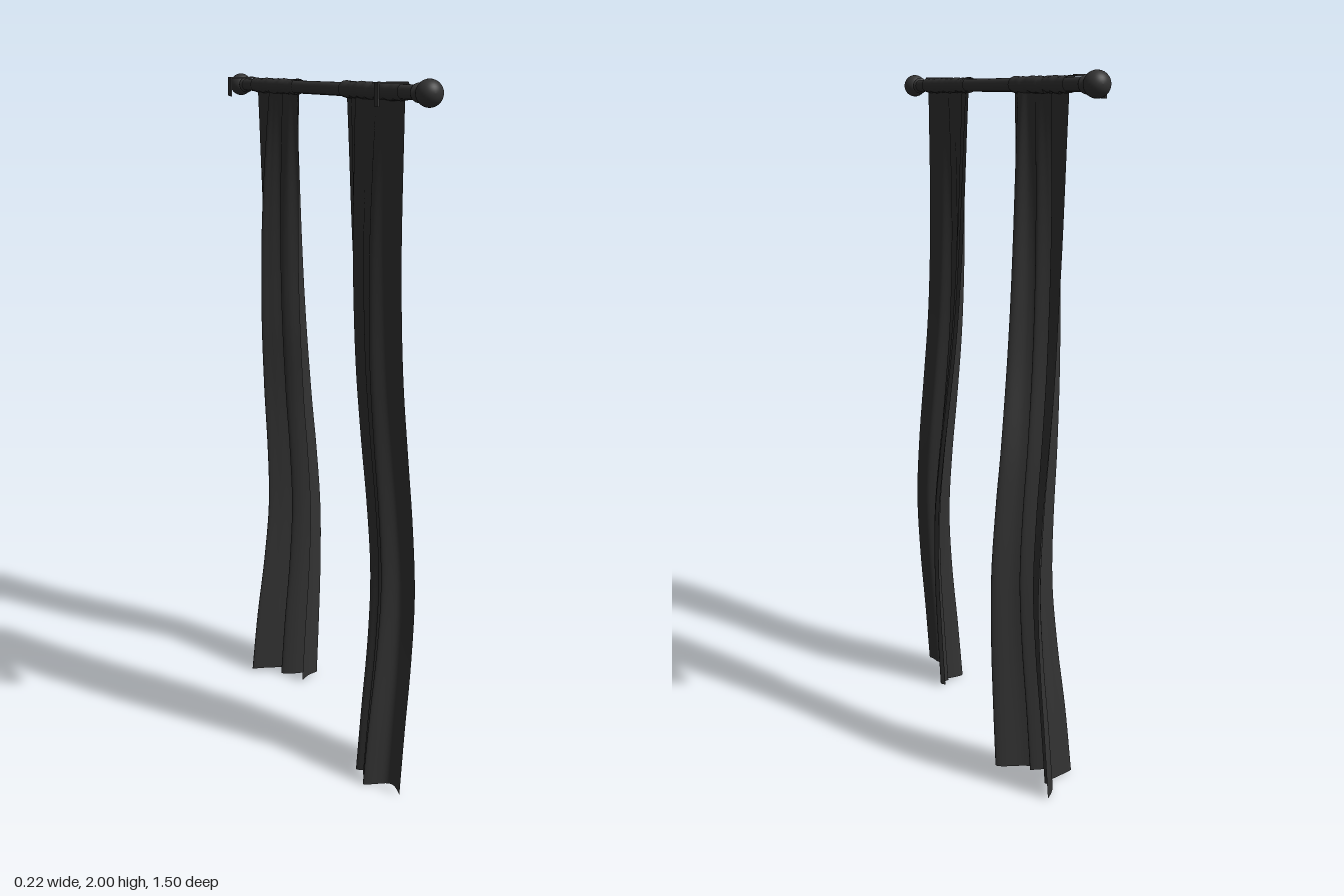
import * as THREE from 'three';

const material = new THREE.MeshStandardMaterial({ color: 0x333333, side: THREE.DoubleSide });
const ROD_X = -0.025, ROD_Y = 1.965;

// Smooth curve through [position, value] pairs
function track(points) {
  return (t) => {
    let i = 0;
    while (i < points.length - 2 && t > points[i + 1][0]) i++;
    const slope = (k) => {
      const a = points[Math.max(k - 1, 0)], b = points[Math.min(k + 1, points.length - 1)];
      return (b[1] - a[1]) / (b[0] - a[0]);
    };
    const [t0, v0] = points[i], [t1, v1] = points[i + 1];
    const h = t1 - t0, s = THREE.MathUtils.clamp((t - t0) / h, 0, 1);
    const s2 = s * s, s3 = s2 * s;
    return v0 * (2 * s3 - 3 * s2 + 1) + v1 * (3 * s2 - 2 * s3)
      + h * (slope(i) * (s3 - 2 * s2 + s) + slope(i + 1) * (s3 - s2));
  };
}

// Grid surface from a function (u, v) -> [x, y, z]
function gridSurface(nu, nv, fn) {
  const geometry = new THREE.PlaneGeometry(1, 1, nu, nv);
  const p = geometry.attributes.position;
  for (let j = 0, k = 0; j <= nv; j++) {
    for (let i = 0; i <= nu; i++, k++) p.setXYZ(k, ...fn(i / nu, j / nv));
  }
  geometry.computeVertexNormals();
  return geometry;
}

function add(group, name, geometry) {
  const mesh = new THREE.Mesh(geometry, material);
  mesh.name = name;
  group.add(mesh);
  return mesh;
}

// Shared sway of the cloth and depth of its folds, by height
const sway = track([[0, -0.008], [0.2, 0.007], [0.4, 0.024], [0.6, 0.033], [0.8, 0.024],
  [1.0, 0.007], [1.2, -0.01], [1.4, -0.02], [1.6, -0.025], [1.97, -0.026]]);
const foldDepth = track([[0, 0.098], [0.2, 0.092], [0.4, 0.082], [0.6, 0.073], [1.0, 0.063],
  [1.4, 0.05], [1.6, 0.041], [1.8, 0.029], [1.97, 0.016]]);

function curtain(name, { inner, outer, folds }) {
  const group = new THREE.Group();
  group.name = name;
  const innerZ = track(inner), outerZ = track(outer), fold = track(folds);

  // Hanging cloth
  add(group, 'cloth', gridSurface(130, 50, (u, v) => {
    const y = THREE.MathUtils.lerp(1.97, 0.008, v);
    return [sway(y) + foldDepth(y) * fold(u), y + 0.004 * Math.sin(u * 17) * v,
      THREE.MathUtils.lerp(innerZ(y), outerZ(y), u)];
  }));

  // Gathered sleeve around the rod
  add(group, 'rodSleeve', gridSurface(70, 20, (u, v) => {
    const a = v * Math.PI * 2;
    const r = 0.023 + 0.0015 * Math.sin(u * 31 + Math.sin(a)) * Math.sin(u * 13 + 1);
    return [ROD_X + r * Math.cos(a) + 0.005 * fold(u), ROD_Y + r * Math.sin(a),
      THREE.MathUtils.lerp(innerZ(1.97), outerZ(1.97), u)];
  }));
  return group;
}

export function createModel() {
  const model = new THREE.Group();
  model.name = 'curtainRodWithCurtains';

  // Rod
  const rod = add(model, 'rod', new THREE.CylinderGeometry(0.019, 0.019, 1.36, 24));
  rod.rotation.x = Math.PI / 2;
  rod.position.set(ROD_X, ROD_Y, 0);

  for (const side of [1, -1]) {
    // Turned finial: collar, neck and ball
    const profile = [[0.019, 0.652], [0.024, 0.655], [0.025, 0.66], [0.024, 0.665],
      [0.018, 0.669], [0.016, 0.688]].map(([r, h]) => new THREE.Vector2(r, h));
    for (let i = 0; i <= 16; i++) {
      const a = THREE.MathUtils.lerp(2.65, 0, i / 16);
      profile.push(new THREE.Vector2(0.035 * Math.sin(a), 0.717 + 0.035 * Math.cos(a)));
    }
    const finial = add(model, side > 0 ? 'frontFinial' : 'backFinial',
      new THREE.LatheGeometry(profile, 28));
    finial.rotation.x = side * Math.PI / 2;
    finial.position.set(ROD_X, ROD_Y, 0);

    // Flat strip bracket, hooked over the rod and bent down at the wall
    const bracket = new THREE.Group();
    bracket.name = side > 0 ? 'frontBracket' : 'backBracket';
    const arm = add(bracket, 'arm', new THREE.BoxGeometry(0.085, 0.005, 0.024));
    arm.position.set(-0.067, 1.988, 0);
    const plate = add(bracket, 'wallPlate', new THREE.BoxGeometry(0.005, 0.06, 0.024));
    plate.position.set(-0.107, 1.96, 0);
    bracket.position.z = side * 0.585;
    model.add(bracket);
  }

  // Curtains: edges as [height, z], folds as [position across, depth]
  model.add(curtain('frontCurtain', {
    inner: [[0, 0.28], [0.2, 0.276], [0.4, 0.264], [0.6, 0.246], [0.8, 0.228], [1.0, 0.212],
      [1.2, 0.204], [1.6, 0.192], [1.97, 0.18]],
    outer: [[0, 0.545], [1.0, 0.548], [1.4, 0.555], [1.97, 0.577]],
    folds: [[0, 0.4], [0.05, 0.52], [0.1, 0.2], [0.15, 0.38], [0.22, -0.3], [0.29, -0.5],
      [0.4, -0.32], [0.48, -0.5], [0.55, -0.35], [0.64, -0.68], [0.73, -0.1], [0.82, 0.04],
      [0.92, 0.07], [1, 0.05]],
  }));
  model.add(curtain('backCurtain', {
    inner: [[0, -0.29], [0.6, -0.296], [0.9, -0.291], [1.0, -0.283], [1.2, -0.258],
      [1.4, -0.241], [1.6, -0.222], [1.8, -0.203], [1.97, -0.185]],
    outer: [[0, -0.575], [0.6, -0.568], [1.0, -0.56], [1.4, -0.551], [1.97, -0.562]],
    folds: [[0, 0.28], [0.08, 0.6], [0.16, 1], [0.2, 0.85], [0.25, 0.2], [0.32, -0.15],
      [0.4, 0.15], [0.47, -0.5], [0.53, -1], [0.6, -0.5], [0.67, 0.02], [0.8, -0.05],
      [0.9, 0.08], [1, 0.33]],
  }));
  return model;
}
